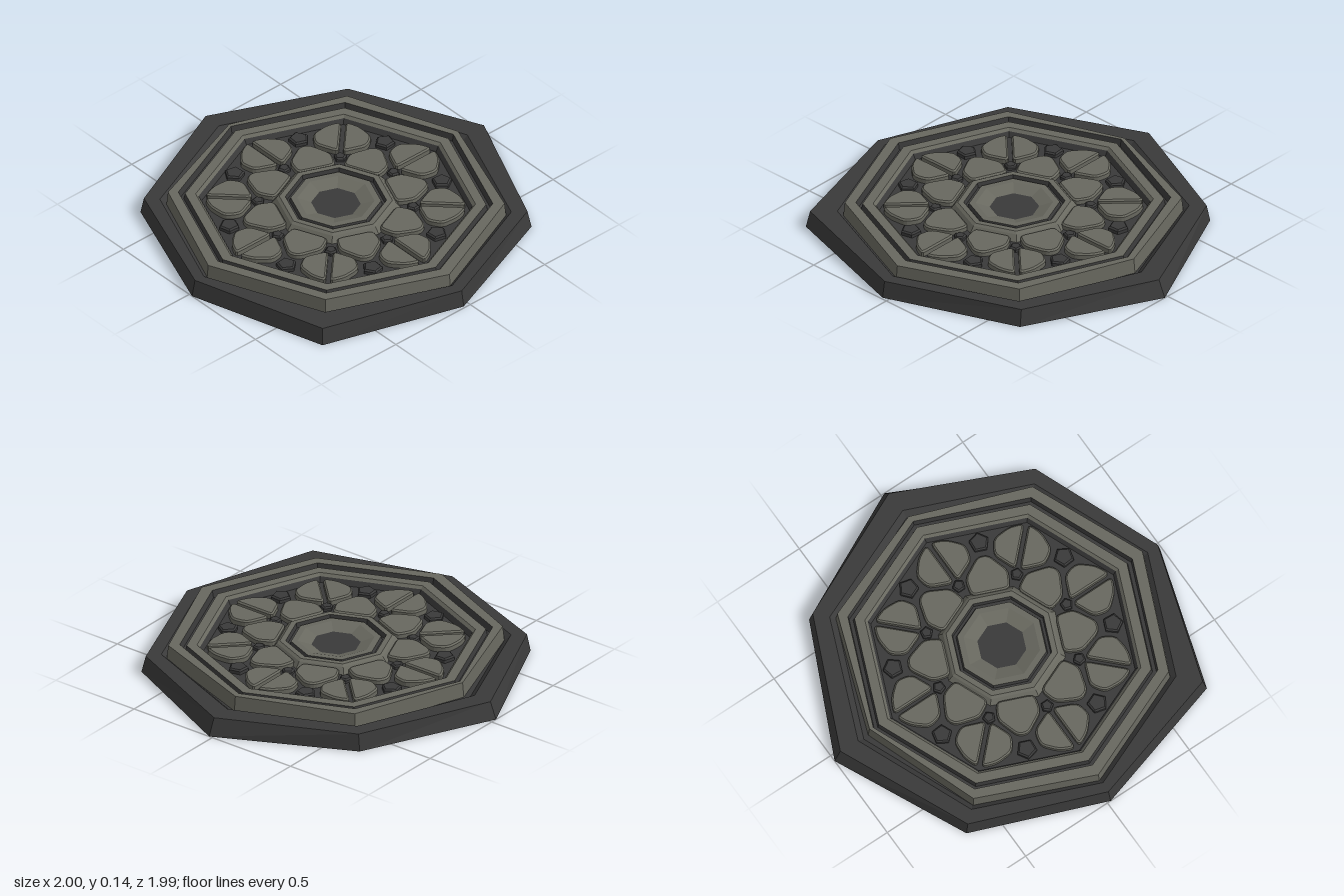
import * as THREE from 'three';

const dark = new THREE.MeshStandardMaterial({ color: 0x3a3a3a });
dark.name = 'darkStone';
const light = new THREE.MeshStandardMaterial({ color: 0x68685f });
light.name = 'lightStone';

const CX = -0.04, CZ = 0.025;

// Octagon loop of [x, z] corners, first corner on +x
function octagon(r, cx = CX, cz = CZ) {
  return Array.from({ length: 8 }, (_, k) => {
    const a = k * Math.PI / 4;
    return [cx + r * Math.cos(a), cz + r * Math.sin(a)];
  });
}

// Faceted skin through loops; each step is { loop, y }, from below, outward, up and inward
function loft(name, steps, material) {
  const pos = [];
  const put = (s, k) => pos.push(s.loop[k % 8][0], s.y, s.loop[k % 8][1]);
  for (let i = 0; i < steps.length - 1; i++) {
    const a = steps[i], b = steps[i + 1];
    for (let k = 0; k < 8; k++) {
      put(a, k); put(b, k); put(a, k + 1);
      put(a, k + 1); put(b, k); put(b, k + 1);
    }
  }
  const geo = new THREE.BufferGeometry();
  geo.setAttribute('position', new THREE.Float32BufferAttribute(pos, 3));
  geo.computeVertexNormals();
  const mesh = new THREE.Mesh(geo, material);
  mesh.name = name;
  return mesh;
}

// Octagonal ring from [radius, y] pairs
function ring(name, profile, material, cx, cz) {
  return loft(name, profile.map(([r, y]) => ({ loop: octagon(r, cx, cz), y })), material);
}

// Polygon with rounded corners
function rounded(points, radius) {
  const v = points.map(([x, y]) => new THREE.Vector2(x, y));
  const shape = new THREE.Shape();
  v.forEach((p, i) => {
    const toward = (q) => {
      const d = q.clone().sub(p);
      return p.clone().addScaledVector(d, Math.min(radius / d.length(), 0.45));
    };
    const a = toward(v[(i + v.length - 1) % v.length]);
    const b = toward(v[(i + 1) % v.length]);
    if (i === 0) shape.moveTo(a.x, a.y); else shape.lineTo(a.x, a.y);
    shape.quadraticCurveTo(p.x, p.y, b.x, b.y);
  });
  shape.closePath();
  return shape;
}

// Raised tile with a bevelled edge, lying on the field
function tileGeometry(points, y0, y1, radius) {
  const bevel = 0.008;
  const geo = new THREE.ExtrudeGeometry(rounded(points, radius), {
    depth: y1 - y0 - bevel, curveSegments: 3, bevelEnabled: true,
    bevelThickness: bevel, bevelSize: bevel, bevelOffset: -bevel, bevelSegments: 1,
  });
  geo.rotateX(-Math.PI / 2);
  geo.translate(0, y0, 0);
  return geo;
}

export function createModel() {
  const model = new THREE.Group();

  // Irregular base slab with a shallow recess below and a gutter around the collar
  const foot = [[1, 0.02], [0.66, 0.72], [-0.035, 0.99], [-0.78, 0.76],
    [-1, 0.02], [-0.73, -0.675], [-0.035, -1], [0.66, -0.675]];
  const shoulder = [[0.96, 0.02], [0.65, 0.70], [-0.035, 0.975], [-0.765, 0.745],
    [-0.98, 0.02], [-0.72, -0.66], [-0.035, -0.965], [0.65, -0.66]];
  const inset = (s) => foot.map(([x, z]) => [x * s, z * s]);
  model.add(loft('base', [
    { loop: octagon(0), y: 0.008 },
    { loop: inset(0.9), y: 0.008 },
    { loop: inset(0.91), y: 0 },
    { loop: foot, y: 0 },
    { loop: shoulder, y: 0.09 },
    { loop: octagon(0.885), y: 0.09 },
    { loop: octagon(0.85), y: 0.06 },
    { loop: octagon(0.78), y: 0.06 },
  ], dark));

  // Outer collar, slightly irregular
  const collar = [[0.795, 0.02], [0.57, 0.63], [-0.035, 0.89], [-0.645, 0.63],
    [-0.9, 0.02], [-0.645, -0.575], [-0.035, -0.795], [0.57, -0.575]];
  const collarTop = collar.map(([x, z]) => [CX + (x - CX) * 0.99, CZ + (z - CZ) * 0.99]);
  model.add(loft('outerCollar', [
    { loop: collar, y: 0.055 },
    { loop: collarTop, y: 0.14 },
    { loop: octagon(0.792), y: 0.14 },
  ], light));
  model.add(ring('collarGroove', [[0.792, 0.14], [0.785, 0.1], [0.765, 0.1], [0.758, 0.132]], dark));
  model.add(ring('innerCollar', [[0.758, 0.132], [0.705, 0.132], [0.69, 0.118]], light));

  // Recessed field
  model.add(ring('field', [[0.69, 0.118], [0.675, 0.09], [0, 0.09]], dark));

  // Central hub: rim, groove, bowl and dark floor
  const hx = -0.035, hz = 0.022;
  model.add(ring('hubRim', [[0.325, 0.09], [0.3, 0.122], [0.285, 0.132], [0.255, 0.132]], light, hx, hz));
  model.add(ring('hubGroove', [[0.255, 0.132], [0.25, 0.106], [0.235, 0.106], [0.228, 0.126]], dark, hx, hz));
  model.add(ring('hubBowl', [[0.228, 0.126], [0.195, 0.126], [0.125, 0.102]], light, hx, hz));
  model.add(ring('hubFloor', [[0.125, 0.102], [0, 0.102]], dark, hx, hz));

  // Rosette tiles, drawn as [distance from centre, sideways]
  const outer = [[0.66, 0.011], [0.625, 0.085], [0.55, 0.15], [0.468, 0.132], [0.415, 0.011]];
  const inner = [[0.29, 0.1], [0.385, 0.112], [0.488, 0.028], [0.488, -0.028], [0.385, -0.112], [0.29, -0.1]];
  const polygon = (r, sides, x) => Array.from({ length: sides }, (_, i) => {
    const a = i * 2 * Math.PI / sides;
    return [x + r * Math.cos(a), r * Math.sin(a)];
  });
  const parts = [
    ['outerPetalLeft', tileGeometry(outer, 0.088, 0.122, 0.03), light, 0],
    ['outerPetalRight', tileGeometry(outer.map(([x, t]) => [x, -t]), 0.088, 0.122, 0.03), light, 0],
    ['innerPetal', tileGeometry(inner, 0.088, 0.12, 0.03), light, 0.5],
    ['largeStud', tileGeometry(polygon(0.053, 5, 0.565), 0.088, 0.115, 0.004), dark, 0.5],
    ['smallStud', tileGeometry(polygon(0.034, 5, 0.39), 0.088, 0.112, 0.004), dark, 0],
  ];
  const rosette = new THREE.Group();
  rosette.name = 'rosette';
  rosette.position.set(CX, 0, CZ);
  for (let k = 0; k < 8; k++) {
    for (const [name, geo, material, turn] of parts) {
      const tile = new THREE.Mesh(geo, material);
      tile.name = name;
      tile.rotation.y = (k + turn) * Math.PI / 4;
      rosette.add(tile);
    }
  }
  model.add(rosette);
  return model;
}
